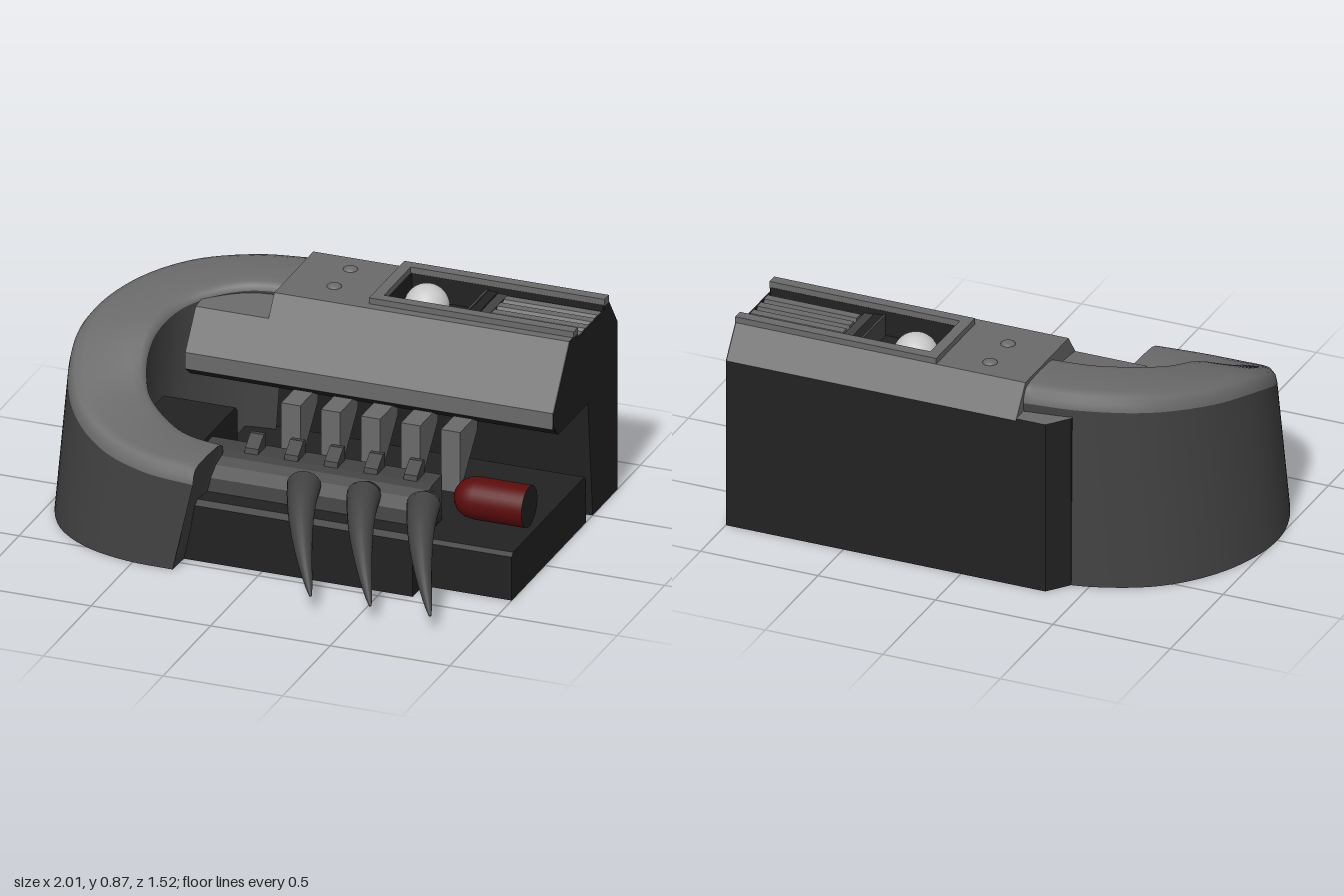
import * as THREE from 'three';

const mat = (name, color, side = THREE.FrontSide) => {
  const m = new THREE.MeshStandardMaterial({ color, side });
  m.name = name;
  return m;
};

export function createModel() {
  const light = mat('light grey', 0x6a6a6a);
  const mid = mat('mid grey', 0x424242);
  const dark = mat('near black', 0x222222);
  const red = mat('dark red', 0x5c0c0c);
  const white = mat('pale grey', 0xc8c8c8);
  light.side = mid.side = THREE.DoubleSide; // open hood sheets

  const model = new THREE.Group();
  const add = (name, geometry, material, parent = model) => {
    const m = new THREE.Mesh(geometry, material);
    m.name = name;
    parent.add(m);
    return m;
  };
  // Box from its limits
  const box = (name, material, x0, x1, y0, y1, z0, z1) => {
    const g = new THREE.BoxGeometry(x1 - x0, y1 - y0, z1 - z0);
    g.translate((x0 + x1) / 2, (y0 + y1) / 2, (z0 + z1) / 2);
    return add(name, g, material);
  };
  // Profile of [z, y] points extruded along x
  const prism = (name, material, profile, x0, x1) => {
    const s = new THREE.Shape(profile.map(([z, y]) => new THREE.Vector2(-z, y)));
    const g = new THREE.ExtrudeGeometry(s, { depth: x1 - x0, bevelEnabled: false });
    g.rotateY(Math.PI / 2).translate(x0, 0, 0);
    return add(name, g, material);
  };
  // Sheet through rows of points
  const sheet = (rows) => {
    const n = rows[0].length, index = [];
    for (let i = 0; i < rows.length - 1; i++)
      for (let j = 0; j < n - 1; j++) {
        const a = i * n + j, b = a + n;
        index.push(a, b, a + 1, b, b + 1, a + 1);
      }
    const g = new THREE.BufferGeometry().setFromPoints(rows.flat());
    g.setIndex(index);
    g.computeVertexNormals();
    return g;
  };

  // Main body: dark lower housing, light upper shell
  prism('lowerHousing', dark,
    [[-0.76, 0], [-0.5, 0], [-0.45, 0.5], [-0.14, 0.5], [-0.09, 0.54], [-0.76, 0.72]], -0.235, 0.995);
  const shellFront = [[-0.76, 0.72], [-0.09, 0.54], [-0.09, 0.61], [-0.26, 0.845]];
  const notch = [[-0.34, 0.845], [-0.34, 0.735], [-0.63, 0.735], [-0.63, 0.845]];
  prism('upperShell', light, [...shellFront, [-0.67, 0.845]], -0.235, 0.19);
  prism('upperShellTrench', light, [...shellFront, ...notch, [-0.67, 0.845]], 0.19, 0.995);
  prism('endPlate', dark, [[-0.76, 0], [-0.5, 0], [-0.45, 0.5], [-0.14, 0.5], [-0.09, 0.55],
    [-0.09, 0.61], [-0.26, 0.845], ...notch, [-0.67, 0.845], [-0.76, 0.72]], 0.995, 1);

  // Lower step at the hood end
  prism('stepUnderside', dark, [[-0.45, 0.5], [-0.14, 0.5], [-0.09, 0.54], [-0.45, 0.54]], -0.54, -0.235);
  prism('stepShell', light, [[-0.45, 0.54], [-0.09, 0.54], [-0.09, 0.61], [-0.2, 0.76], [-0.45, 0.785]], -0.54, -0.235);

  // Chamfered rear corner
  const corner = new THREE.Shape([[-0.235, 0.45], [-0.235, 0.76], [-0.36, 0.76], [-0.43, 0.67], [-0.43, 0.45]]
    .map(([x, z]) => new THREE.Vector2(x, z)));
  const cornerGeo = new THREE.ExtrudeGeometry(corner, { depth: 0.73, bevelEnabled: false });
  add('rearCorner', cornerGeo.rotateX(-Math.PI / 2), [light, dark]);

  // Trench contents: lining, divider, louvres and ball
  box('trenchFloor', dark, 0.19, 0.995, 0.735, 0.74, -0.63, -0.34);
  box('trenchRearLining', dark, 0.19, 0.995, 0.735, 0.845, -0.63, -0.624);
  box('trenchFrontLining', dark, 0.19, 0.995, 0.735, 0.845, -0.346, -0.34);
  box('trenchEndLining', dark, 0.19, 0.196, 0.735, 0.845, -0.63, -0.34);
  box('dividerDark', dark, 0.51, 0.555, 0.735, 0.825, -0.63, -0.34);
  box('divider', mid, 0.505, 0.515, 0.735, 0.83, -0.63, -0.34);
  box('dividerLedge', mid, 0.555, 0.595, 0.735, 0.82, -0.63, -0.34);
  box('louvreBed', dark, 0.595, 1, 0.735, 0.795, -0.62, -0.35);
  box('louvreEnd', dark, 0.993, 1, 0.735, 0.825, -0.63, -0.34);
  for (let i = 0; i < 4; i++) {
    const z = -0.615 + i * 0.066;
    prism('louvre', light, [[z, 0.79], [z + 0.06, 0.79], [z + 0.06, 0.805], [z + 0.045, 0.825], [z + 0.008, 0.825]], 0.6, 0.993);
  }
  add('ball', new THREE.SphereGeometry(0.09, 32, 20), white).position.set(0.305, 0.775, -0.505);

  // Raised frame round the trench, open at the end
  box('frameRear', light, 0.145, 1, 0.84, 0.87, -0.67, -0.625);
  box('frameFront', light, 0.145, 1, 0.84, 0.87, -0.345, -0.3);
  box('frameEnd', light, 0.145, 0.19, 0.84, 0.87, -0.67, -0.3);

  // Bolts on the top
  for (const z of [-0.57, -0.4]) {
    const b = add('bolt', new THREE.SphereGeometry(0.03, 16, 8, 0, Math.PI * 2, 0, Math.PI / 2), light);
    b.position.set(-0.04, 0.843, z);
    b.scale.y = 0.5;
  }

  // Curved hood: outer x, z, inner x, z and top y per station
  const stations = [
    [-0.235, -0.69, -0.235, -0.385, 0.83], [-0.46, -0.65, -0.38, -0.36, 0.825],
    [-0.70, -0.53, -0.50, -0.29, 0.81], [-0.87, -0.32, -0.60, -0.18, 0.78],
    [-0.95, -0.05, -0.64, -0.02, 0.73], [-0.925, 0.17, -0.625, 0.10, 0.65],
    [-0.82, 0.37, -0.57, 0.19, 0.56], [-0.65, 0.50, -0.47, 0.24, 0.49],
    [-0.45, 0.56, -0.37, 0.265, 0.455], [-0.245, 0.57, -0.235, 0.275, 0.44]];
  const outer = new THREE.CatmullRomCurve3(stations.map(s => new THREE.Vector3(s[0], s[4], s[1])));
  const inner = new THREE.CatmullRomCurve3(stations.map(s => new THREE.Vector3(s[2], s[4], s[3])));
  const crown = [[0, -0.065], [0.02, -0.035], [0.08, -0.01], [0.2, 0], [0.5, 0.003], [0.8, 0],
    [0.92, -0.008], [0.98, -0.02], [1, -0.04]];
  const rows = { outerWall: [], crown: [], innerWall: [], floor: [] };
  for (let i = 0; i <= 54; i++) {
    const t = i / 54, o = outer.getPoint(t), n = inner.getPoint(t);
    const lean = 0.055 + 0.03 * Math.max(0, t - 0.6) / 0.4;
    const top = crown.map(([f, dy]) => o.clone().lerp(n, f).add(new THREE.Vector3(0, dy, 0)));
    const foot = p => new THREE.Vector3(p.x - lean, 0, p.z);
    rows.crown.push(top);
    rows.outerWall.push([foot(o), top[0]]);
    rows.innerWall.push([top[top.length - 1], foot(n)]);
    rows.floor.push([foot(n), foot(o)]);
  }
  const hood = new THREE.Group();
  hood.name = 'hood';
  model.add(hood);
  add('hoodOuterWall', sheet(rows.outerWall), mid, hood);
  add('hoodCrown', sheet(rows.crown), light, hood);
  add('hoodInnerWall', sheet(rows.innerWall), mid, hood);
  add('hoodFloor', sheet(rows.floor), mid, hood);
  const ring = [rows.outerWall[54][0], ...rows.crown[54], rows.innerWall[54][1]];
  const cap = new THREE.BufferGeometry().setFromPoints(ring);
  cap.setIndex(ring.slice(2).flatMap((_, j) => [0, j + 2, j + 1]));
  cap.computeVertexNormals();
  add('hoodFrontEnd', cap, mid, hood);

  // Base plate, inner block and lower jaw
  prism('basePlate', dark, [[-0.43, 0], [0.35, 0], [0.35, 0.185], [0.335, 0.2], [-0.415, 0.2], [-0.43, 0.185]], -0.4, 1);
  prism('innerBlock', dark, [[-0.11, 0], [0.46, 0], [0.46, 0.37], [0.43, 0.41], [-0.09, 0.41], [-0.11, 0.39]], -0.63, -0.33);
  prism('jawSlab', dark, [[0.15, 0], [0.46, 0], [0.46, 0.235], [0.44, 0.255], [0.15, 0.255]], -0.33, 0.63);
  prism('jawBeam', mid, [[0.15, 0.2], [0.36, 0.25], [0.35, 0.31], [0.32, 0.355], [0.285, 0.38], [0.245, 0.39], [0.15, 0.39]], -0.33, 0.63);

  // Upper and lower teeth
  for (let i = 0; i < 5; i++) {
    const x = -0.045 + i * 0.167;
    prism('upperTooth', light, [[0.045, 0.53], [-0.09, 0.53], [-0.14, 0.5], [-0.14, 0.47], [0.045, 0.27]], x - 0.04, x + 0.04);
    const lx = -0.13 + i * 0.166;
    prism('lowerTooth', mid, [[0.165, 0.38], [0.25, 0.38], [0.24, 0.41], [0.185, 0.45], [0.165, 0.45]], lx - 0.028, lx + 0.028);
  }

  // Tapered, curved claws
  const path = new THREE.CatmullRomCurve3([[0.13, 0.345, 0.345], [0.155, 0.325, 0.43], [0.19, 0.275, 0.525],
    [0.25, 0.185, 0.645], [0.32, 0.077, 0.755]].map(p => new THREE.Vector3(...p)));
  const claw = new THREE.TubeGeometry(path, 16, 1, 20);
  const pos = claw.attributes.position, v = new THREE.Vector3();
  for (let i = 0; i < pos.count; i++) {
    const t = Math.floor(i / 21) / 16, c = path.getPointAt(t);
    const r = 0.005 + 0.062 * Math.pow(1 - t, 0.75);
    v.fromBufferAttribute(pos, i).sub(c).multiplyScalar(r).add(c);
    pos.setXYZ(i, v.x, v.y, v.z);
  }
  for (let i = 0; i < 3; i++) {
    const g = new THREE.Group();
    g.name = 'claw';
    g.position.x = i * 0.25;
    model.add(g);
    add('clawHorn', claw, mid, g);
    const base = add('clawBase', new THREE.CircleGeometry(0.067, 20), mid, g);
    base.position.copy(path.getPointAt(0));
    base.lookAt(base.position.clone().sub(path.getTangentAt(0)));
    base.position.x = path.getPointAt(0).x;
  }

  // Red canister with a dark end
  const canister = new THREE.LatheGeometry([[0, 0], [0.035, 0.006], [0.062, 0.025], [0.079, 0.055], [0.085, 0.095], [0.085, 0.308]]
    .map(p => new THREE.Vector2(...p)), 32);
  add('canister', canister.rotateZ(-Math.PI / 2), red).position.set(0.69, 0.32, 0.16);
  add('canisterEnd', new THREE.CircleGeometry(0.085, 32).rotateY(Math.PI / 2), dark).position.set(0.998, 0.32, 0.16);

  return model;
}
